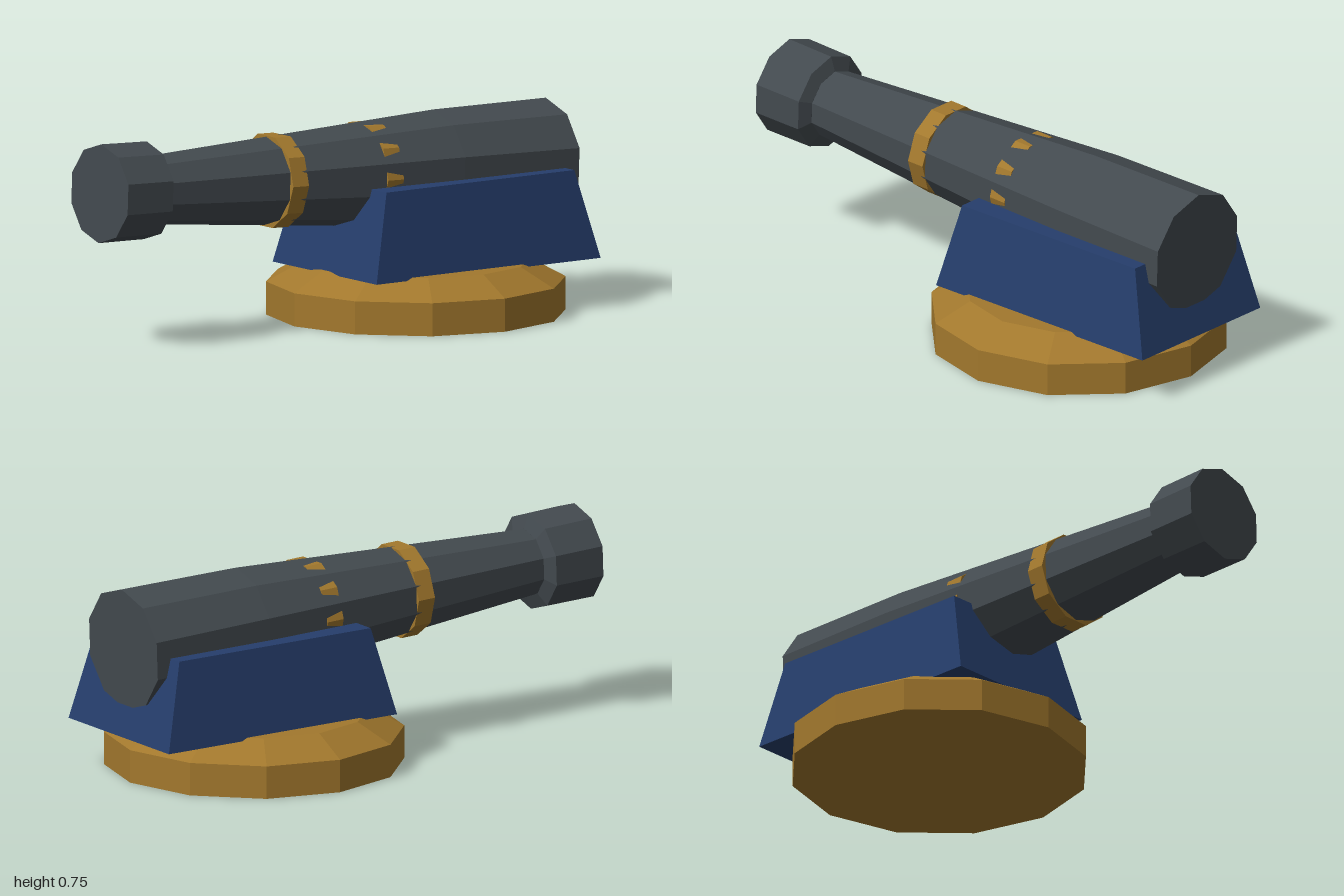
import * as THREE from 'three';

const paint = (name, color) => {
  const m = new THREE.MeshStandardMaterial({ color, flatShading: true });
  m.name = name;
  return m;
};

// Closed faceted solid of revolution; profile is [radius, height] from bottom to top
function turned(name, profile, sides, material, phase = 0) {
  const first = profile[0][1], last = profile[profile.length - 1][1];
  const points = [[0, first], ...profile, [0, last]].map(([r, h]) => new THREE.Vector2(r, h));
  const mesh = new THREE.Mesh(new THREE.LatheGeometry(points, sides, phase), material);
  mesh.name = name;
  return mesh;
}

export function createModel() {
  const gold = paint('gold', 0xa2782d);
  const blue = paint('navy blue', 0x263e6c);
  const iron = paint('gunmetal', 0x434a4f);

  const model = new THREE.Group();
  model.name = 'cannon';

  // Twelve-sided turntable with a bevelled top
  const base = turned('base', [[0.54, 0], [0.54, 0.12], [0.41, 0.19]], 12, gold);
  base.position.z = -0.41;
  model.add(base);

  // Tapered cradle block
  const block = new THREE.BoxGeometry(0.63, 0.32, 0.995);
  const pos = block.attributes.position;
  for (let i = 0; i < pos.count; i++) {
    if (pos.getY(i) > 0) {
      pos.setX(i, Math.sign(pos.getX(i)) * 0.265);
      pos.setZ(i, Math.sign(pos.getZ(i)) * 0.417);
    }
  }
  const cradle = new THREE.Mesh(block, blue);
  cradle.name = 'cradle';
  cradle.position.set(0, 0.34, -0.5025);
  model.add(cradle);

  // Gun, turned along its own axis and raised by two degrees
  const gun = new THREE.Group();
  gun.name = 'gun';
  gun.position.y = 0.532;
  gun.rotation.x = Math.PI / 2 - THREE.MathUtils.degToRad(2);
  gun.add(
    turned('barrel', [[0.223, -0.98], [0.212, -0.48], [0.124, 0.78]], 10, iron),
    turned('muzzle', [[0.125, 0.772], [0.177, 0.792], [0.179, 0.994]], 10, iron),
    // Bands sit half a side round, so the barrel edges cut through them
    turned('frontBand', [[0.172, 0.19], [0.172, 0.26]], 10, gold, Math.PI / 10),
    turned('rearBand', [[0.189, -0.22], [0.189, -0.15]], 10, gold, Math.PI / 10)
  );
  model.add(gun);
  return model;
}
